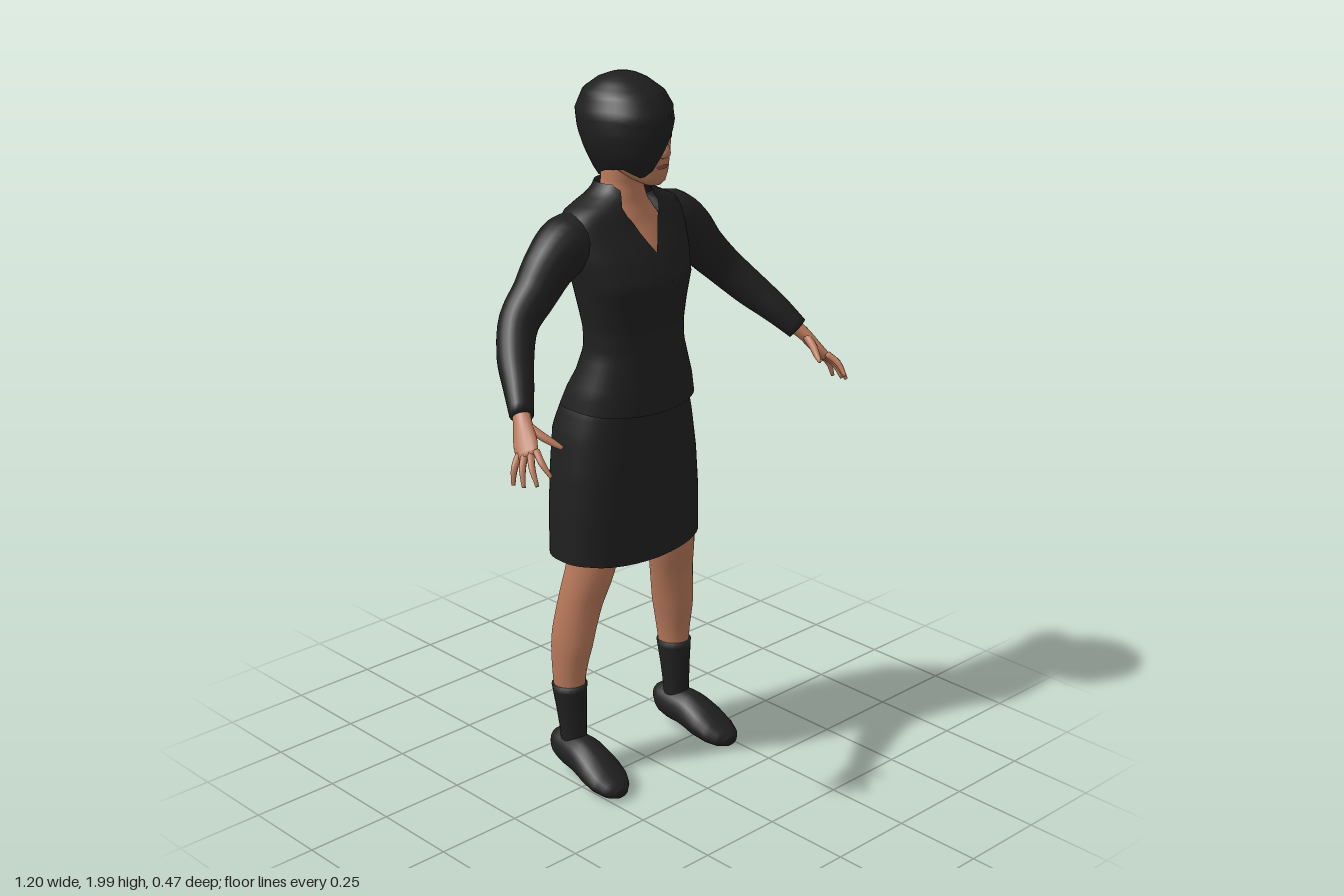
import * as THREE from 'three';

const V = (x, y, z) => new THREE.Vector3(x, y, z);
const mat = (name, color, side = THREE.FrontSide) => {
  const m = new THREE.MeshStandardMaterial({ color, side });
  m.name = name;
  return m;
};

// Piecewise linear lookup in rows sorted by their first value
function lookup(rows, k) {
  if (k <= rows[0][0]) return rows[0];
  for (let i = 1; i < rows.length; i++) {
    const a = rows[i - 1], b = rows[i];
    if (k <= b[0]) return a.map((v, j) => v + (b[j] - v) * (k - a[0]) / (b[0] - a[0]));
  }
  return rows[rows.length - 1];
}

// Smooth surface through closed rings of points, optionally capped
function skin(rings, caps) {
  const n = rings[0].length, pos = [], idx = [];
  rings.forEach(r => r.forEach(p => pos.push(p.x, p.y, p.z)));
  for (let i = 0; i < rings.length - 1; i++) for (let j = 0; j < n; j++) {
    const k = (j + 1) % n, a = i * n + j, b = i * n + k;
    idx.push(a, b, b + n, a, b + n, a + n);
  }
  if (caps) [0, rings.length - 1].forEach((r, end) => {
    const c = rings[r].reduce((s, p) => s.add(p), V(0, 0, 0)).divideScalar(n), m = pos.length / 3;
    pos.push(c.x, c.y, c.z);
    for (let j = 0; j < n; j++) {
      const a = r * n + j, b = r * n + (j + 1) % n;
      end ? idx.push(a, b, m) : idx.push(b, a, m);
    }
  });
  const g = new THREE.BufferGeometry();
  g.setAttribute('position', new THREE.Float32BufferAttribute(pos, 3));
  g.setIndex(idx);
  g.computeVertexNormals();
  return g;
}

// Limb along a curve; each point is [x, y, z, half width, half depth]
function limb(pts, ref, steps = 16, n = 14) {
  const curve = new THREE.CatmullRomCurve3(pts.map(p => V(p[0], p[1], p[2])));
  const radii = pts.map((p, i) => [i / (pts.length - 1), p[3], p[4] ?? p[3]]);
  const rings = [];
  for (let i = 0; i <= steps; i++) {
    const t = i / steps, c = curve.getPoint(t), d = curve.getTangent(t);
    const side = ref.clone().cross(d).normalize(), up = d.clone().cross(side);
    const [, r, r2] = lookup(radii, t);
    rings.push(Array.from({ length: n }, (_, j) => {
      const a = j / n * Math.PI * 2;
      return c.clone().addScaledVector(side, r * Math.cos(a)).addScaledVector(up, r2 * Math.sin(a));
    }));
  }
  return skin(rings, true);
}

// Point on an upright profile of [y, half width, front z, back z]; angle 0 is the front
function onProfile(profile, y, deg, power = 1, cx = 0) {
  const [, rx, f, b] = lookup(profile, y), a = deg * Math.PI / 180;
  const bend = v => Math.sign(v) * Math.abs(v) ** power;
  return V(cx + rx * bend(Math.sin(a)), y, (f + b) / 2 + (f - b) / 2 * bend(Math.cos(a)));
}

// Upright shell whose lower and upper edges vary with the angle
function shell(profile, bottom, top, { power = 1, cx = 0, extra = [], ease = 1, steps = 24, caps = false } = {}) {
  const angles = Array.from({ length: 48 }, (_, i) => i * 7.5 - 180).concat(extra).sort((a, b) => a - b);
  const rings = [];
  for (let i = 0; i <= steps; i++) {
    const s = 1 - (1 - i / steps) ** ease;
    rings.push(angles.map(a => {
      const lo = lookup(bottom, a)[1], hi = lookup(top, a)[1];
      return onProfile(profile, lo + (hi - lo) * s, a, power, cx);
    }));
  }
  return skin(rings, caps);
}

const level = y => [[-180, y], [180, y]];

export function createModel() {
  const model = new THREE.Group();
  const cloth = mat('black cloth', 0x202020, THREE.DoubleSide);
  const hairMat = mat('black hair', 0x1e1e1e, THREE.DoubleSide);
  const skinMat = mat('skin', 0xb8785a);
  const lipMat = mat('lips', 0x8a4f40, THREE.DoubleSide);
  const eyeMat = mat('eye', 0x241a17, THREE.DoubleSide);
  const add = (name, geo, m, parent = model) => {
    const mesh = new THREE.Mesh(geo, m);
    mesh.name = name;
    parent.add(mesh);
    return mesh;
  };

  // Jacket with a V neck and standing collar
  const jacket = [
    [1.09, .203, .07, -.222], [1.15, .19, .066, -.195], [1.2, .172, .06, -.168], [1.26, .153, .055, -.152],
    [1.32, .152, .054, -.154], [1.38, .162, .06, -.168], [1.45, .176, .07, -.184], [1.52, .19, .045, -.193],
    [1.6, .2, .002, -.196], [1.635, .185, -.012, -.192], [1.66, .13, -.022, -.182], [1.68, .086, -.03, -.17],
    [1.705, .07, -.035, -.165]];
  add('jacket', shell(jacket, [[-180, 1.09], [-90, 1.105], [0, 1.09], [90, 1.105], [180, 1.09]],
    [[-60, 1.705], [-36, 1.69], [-12, 1.62], [0, 1.53], [12, 1.62], [36, 1.69], [60, 1.705]],
    { power: .88, extra: [-4, 4, -11, 11], steps: 36 }), cloth);

  // Neck and chest beneath the jacket
  add('neckAndChest', shell([
    [1.45, .12, .03, -.16], [1.53, .12, .028, -.16], [1.6, .11, -.012, -.165], [1.65, .075, -.032, -.16],
    [1.7, .056, -.04, -.152], [1.78, .052, -.03, -.15]], level(1.45), level(1.78)), skinMat);

  // Pencil skirt with a slit at the back
  add('skirt', shell([
    [.65, .238, .05, -.225], [.8, .236, .05, -.228], [.92, .226, .05, -.232], [1.03, .21, .047, -.236],
    [1.1, .19, .045, -.215], [1.14, .17, .04, -.18]],
    [[-180, .84], [-178, .67], [-60, .67], [0, .655], [60, .67], [178, .67], [180, .84]], level(1.14),
    { power: .8, extra: [-178, 178] }), cloth);

  // Head
  const headProfile = [
    [1.714, .022, .045, -.01], [1.725, .04, .056, -.05], [1.75, .06, .06, -.11], [1.785, .071, .062, -.15],
    [1.83, .079, .064, -.17], [1.9, .082, .062, -.18], [1.95, .062, .025, -.15], [1.98, .02, -.03, -.1]];
  const head = new THREE.Group();
  head.name = 'head';
  model.add(head);
  add('face', shell(headProfile, level(1.714), level(1.98), { power: .93, caps: true }), skinMat, head);
  add('nose', limb([[0, 1.86, .055, .008], [0, 1.825, .066, .011], [0, 1.802, .072, .016, .012],
    [0, 1.792, .062, .011, .006]], V(0, 0, 1), 10, 10), skinMat, head);

  // Thin facial details laid on the face
  const patch = (name, x, y, w, h, m, tilt = 0) => {
    const g = new THREE.CircleGeometry(1, 16).scale(w, h, 1).rotateZ(tilt).translate(x, y, 0);
    const p = g.attributes.position;
    for (let i = 0; i < p.count; i++) {
      const rx = lookup(headProfile, p.getY(i))[1];
      const a = Math.asin(Math.sign(p.getX(i)) * (Math.abs(p.getX(i)) / rx) ** (1 / .93));
      p.setZ(i, onProfile(headProfile, p.getY(i), a * 180 / Math.PI, .93).z + .003);
    }
    g.computeVertexNormals();
    add(name, g, m, head);
  };
  for (const s of [1, -1]) {
    patch('eye', s * .034, 1.843, .014, .0065, eyeMat, s * .1);
    patch('eyebrow', s * .036, 1.865, .02, .0035, eyeMat, s * .2);
  }
  patch('lips', 0, 1.766, .022, .006, lipMat);

  // Bob with a slanted fringe sweeping over the right eye
  add('hair', shell([
    [1.7, .05, .05, -.14], [1.75, .088, .068, -.162], [1.8, .115, .08, -.178], [1.85, .125, .084, -.2],
    [1.9, .122, .08, -.212], [1.95, .1, .045, -.19], [1.98, .064, -.005, -.147], [1.994, .034, -.04, -.11],
    [2, .001, -.074, -.076]],
    [[-180, 1.705], [-130, 1.725], [-90, 1.755], [-60, 1.765], [-35, 1.74], [-17, 1.762], [0, 1.815],
      [30, 1.912], [68, 1.925], [73, 1.765], [110, 1.74], [140, 1.715], [180, 1.705]],
    level(2), { cx: -.012, extra: [-17, 68, 73], ease: 1.9 }), hairMat);

  for (const s of [1, -1]) {
    const side = s > 0 ? 'left' : 'right';
    const flip = pts => pts.map(([x, ...rest]) => [s * x, ...rest]);

    // Sleeve
    add(side + 'Sleeve', limb(flip([
      [.1, 1.56, -.11, .08, .075], [.19, 1.556, -.106, .084, .078], [.25, 1.52, -.1, .074, .066],
      [.31, 1.455, -.095, .063, .058], [.375, 1.392, -.085, .056, .052], [.435, 1.32, -.03, .05, .048],
      [.475, 1.268, .027, .042, .04], [.512, 1.213, .08, .033, .03]]), V(0, 0, 1), 28, 18), cloth);

    // Hand with spread fingers
    const hand = new THREE.Group();
    hand.name = side + 'Hand';
    model.add(hand);
    const normal = V(.78 * s, .59, .15);
    add('palm', limb(flip([[.505, 1.222, .07, .024, .021], [.522, 1.198, .096, .026, .018],
      [.54, 1.163, .125, .035, .015], [.556, 1.134, .153, .032, .011]]), normal, 10), skinMat, hand);
    const tips = [[.548, 1.1, .232], [.577, 1.078, .212], [.594, 1.07, .18], [.597, 1.067, .143]];
    tips.forEach((t, i) => {
      const o = (i - 1.5) * .0165, b = [.551 + .41 * o, 1.143 - .32 * o, .147 - .86 * o];
      const mid = b.map((v, k) => (v + t[k]) / 2 + [.007, .005, .001][k]);
      add('finger', limb(flip([[...b, .01], [...mid, .009], [...t, .005]]), normal, 8, 8), skinMat, hand);
    });
    add('thumb', limb(flip([[.52, 1.198, .105, .013], [.504, 1.175, .15, .011], [.489, 1.16, .178, .009],
      [.479, 1.15, .198, .005]]), normal, 8, 8), skinMat, hand);

    // Leg, sock and shoe
    add(side + 'Leg', limb(flip([
      [.11, .95, -.085, .09, .1], [.13, .8, -.07, .08, .085], [.15, .66, -.06, .067, .073],
      [.175, .54, -.08, .062, .064], [.195, .42, -.095, .055, .066], [.204, .3, -.1, .043, .05],
      [.203, .12, -.085, .032, .036]]), V(0, 0, 1), 28, 18), skinMat);
    add(side + 'Sock', limb(flip([
      [.205, .285, -.099, .048, .054], [.204, .21, -.092, .041, .046], [.203, .14, -.086, .037, .039],
      [.203, .08, -.083, .036, .038]]), V(0, 0, 1), 12, 18), cloth);
    add(side + 'Shoe', limb(flip([
      [.2, .075, -.148, .026, .026], [.201, .083, -.135, .043, .045], [.203, .08, -.085, .052, .053],
      [.207, .077, -.03, .057, .054], [.211, .058, .03, .064, .046], [.215, .042, .075, .061, .035],
      [.217, .031, .11, .045, .025], [.217, .026, .13, .022, .014]]), V(0, 1, 0), 28, 18), cloth);
  }
  return model;
}
